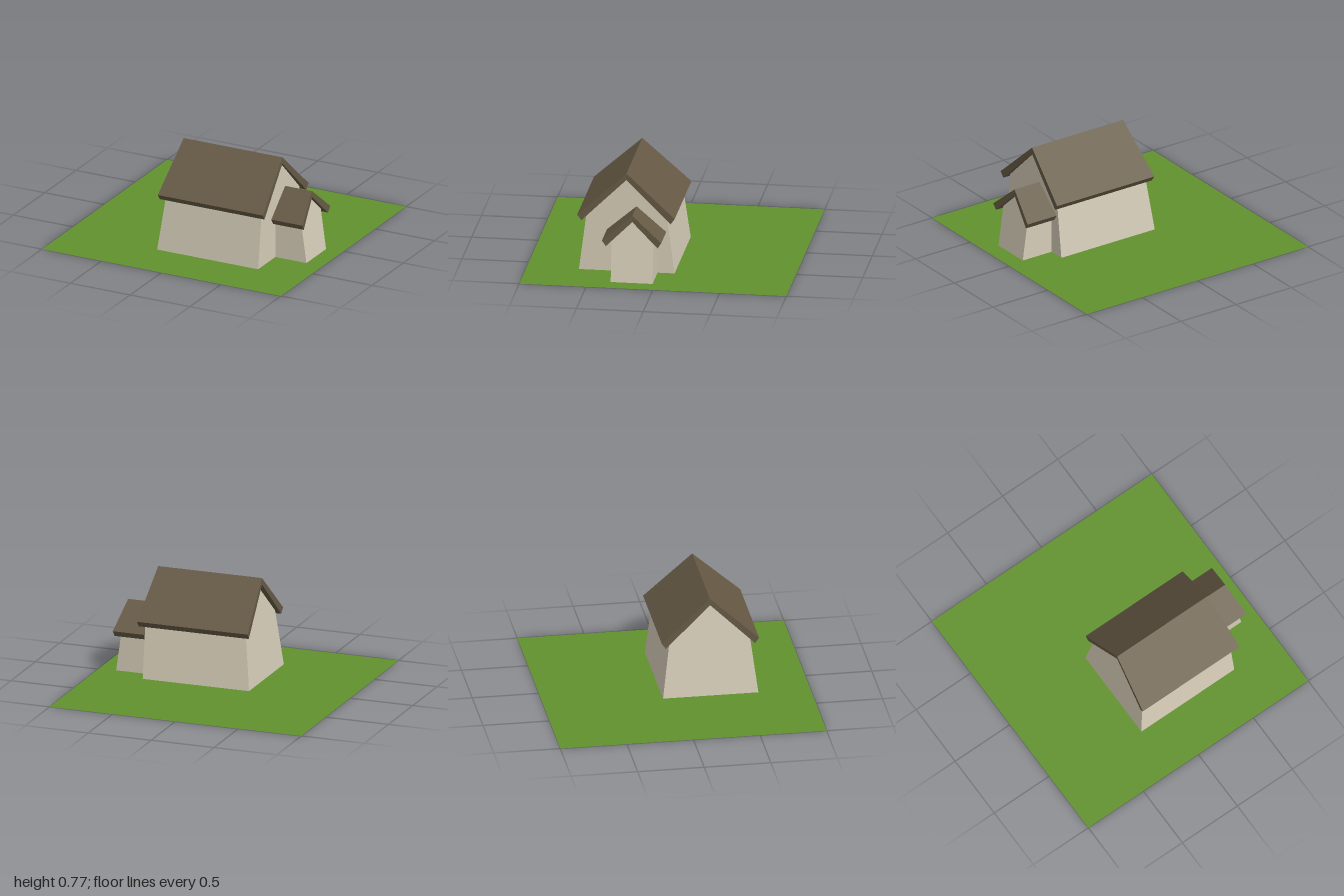
import * as THREE from 'three';

const wallMat = new THREE.MeshStandardMaterial({ color: 0xd6cdb8, side: THREE.DoubleSide });
wallMat.name = 'plaster';
const roofMat = new THREE.MeshStandardMaterial({ color: 0x665a45 });
roofMat.name = 'roofBrown';
const grassMat = new THREE.MeshStandardMaterial({ color: 0x61912e, side: THREE.DoubleSide });
grassMat.name = 'grass';

function add(group, name, geometry, material) {
  const mesh = new THREE.Mesh(geometry, material);
  mesh.name = name;
  group.add(mesh);
}

// Flat-shaded geometry from convex polygons, corners anticlockwise from outside
function polygons(faces) {
  const pos = [];
  for (const f of faces) {
    for (let i = 1; i < f.length - 1; i++) pos.push(...f[0], ...f[i], ...f[i + 1]);
  }
  const g = new THREE.BufferGeometry();
  g.setAttribute('position', new THREE.Float32BufferAttribute(pos, 3));
  g.computeVertexNormals();
  return g;
}

const shapeOf = (pts) => new THREE.Shape(pts.map(([x, y]) => new THREE.Vector2(x, y)));

// Chevron roof along x; its ends slant from the ridge out to the eaves
function roof({ z, ridge, inner, eave, tip, left, right, closeLeft = true }) {
  const section = [
    [0, ridge], [eave[0], eave[1]], [tip[0], tip[1]],
    [0, inner], [-tip[0], tip[1]], [-eave[0], eave[1]],
  ];
  const end = ([atRidge, atEave]) => section.map(([dz, y]) =>
    [atRidge + (atEave - atRidge) * Math.abs(dz) / eave[0], y, z + dz]);
  const L = end(left), R = end(right);
  const faces = section.map((_, i) => {
    const j = (i + 1) % 6;
    return [L[i], L[j], R[j], R[i]];
  });
  for (const cap of [[0, 1, 2, 3], [0, 3, 4, 5]]) {
    faces.push(cap.map((i) => R[i]));
    if (closeLeft) faces.push([...cap].reverse().map((i) => L[i]));
  }
  return polygons(faces);
}

export function createModel() {
  const model = new THREE.Group();
  model.name = 'cottage';

  // Shared dimensions: main house and side annex
  const x0 = -0.24, x1 = 0.605, x2 = 0.865;
  const zc = 0.252, foot = 0.358, top = 0.303, wallY = 0.428, peakY = 0.72;
  const az = 0.178, aw = 0.157, aWallY = 0.314, aPeakY = 0.465;
  const leftX = (y) => x0 + y * 0.1125;
  const endX = (y) => x2 - y * 0.14;

  // Lawn, cut out under the house
  const lawn = shapeOf([[-1, -1], [1, -1], [1, 1], [-1, 1]]);
  lawn.holes.push(new THREE.Path([
    [x0, zc - foot], [x1, zc - foot], [x1, az - aw], [x2, az - aw],
    [x2, az + aw], [x1, az + aw], [x1, zc + foot], [x0, zc + foot],
  ].map(([x, z]) => new THREE.Vector2(x, -z))));
  add(model, 'lawn', new THREE.ShapeGeometry(lawn).rotateX(-Math.PI / 2), grassMat);

  // Main walls lean inward, except the gable next to the annex
  const house = new THREE.Group();
  house.name = 'mainHouse';
  model.add(house);
  for (const s of [1, -1]) {
    const wall = [
      [x0, 0, zc + s * foot], [x1, 0, zc + s * foot],
      [x1, wallY, zc + s * top], [leftX(wallY), wallY, zc + s * top],
    ];
    add(house, s > 0 ? 'frontWall' : 'backWall', polygons([s > 0 ? wall : wall.reverse()]), wallMat);
  }
  add(house, 'slantedGable', polygons([[
    [x0, 0, zc - foot], [x0, 0, zc + foot], [leftX(wallY), wallY, zc + top],
    [leftX(peakY), peakY, zc], [leftX(wallY), wallY, zc - top],
  ]]), wallMat);

  // Upright gable, open towards the annex
  const gable = shapeOf([
    [zc + foot, 0], [az + aw, 0], [az + aw, aWallY], [az, aPeakY], [az - aw, aWallY],
    [az - aw, 0], [zc - foot, 0], [zc - top, wallY], [zc, peakY], [zc + top, wallY],
  ].map(([z, y]) => [-z, y]));
  add(house, 'annexGable',
    new THREE.ShapeGeometry(gable).rotateY(Math.PI / 2).translate(x1, 0, 0), wallMat);

  add(house, 'mainRoof', roof({
    z: zc, ridge: 0.77, inner: peakY, eave: [0.365, 0.44], tip: [0.335, 0.397],
    left: [-0.205, -0.231], right: [0.62, 0.648],
  }), roofMat);

  // Annex: upright sides and a leaning end wall
  const annex = new THREE.Group();
  annex.name = 'annex';
  model.add(annex);
  for (const s of [1, -1]) {
    const z = az + s * aw;
    const wall = [[x1, 0, z], [x2, 0, z], [endX(aWallY), aWallY, z], [x1, aWallY, z]];
    add(annex, s > 0 ? 'annexFrontWall' : 'annexBackWall',
      polygons([s > 0 ? wall : wall.reverse()]), wallMat);
  }
  add(annex, 'annexEndWall', polygons([[
    [x2, 0, az + aw], [x2, 0, az - aw], [endX(aWallY), aWallY, az - aw],
    [endX(aPeakY), aPeakY, az], [endX(aWallY), aWallY, az + aw],
  ]]), wallMat);
  add(annex, 'annexRoof', roof({
    z: az, ridge: 0.513, inner: aPeakY, eave: [0.222, 0.322], tip: [0.194, 0.278],
    left: [x1, x1], right: [0.83, 0.867], closeLeft: false,
  }), roofMat);

  return model;
}
